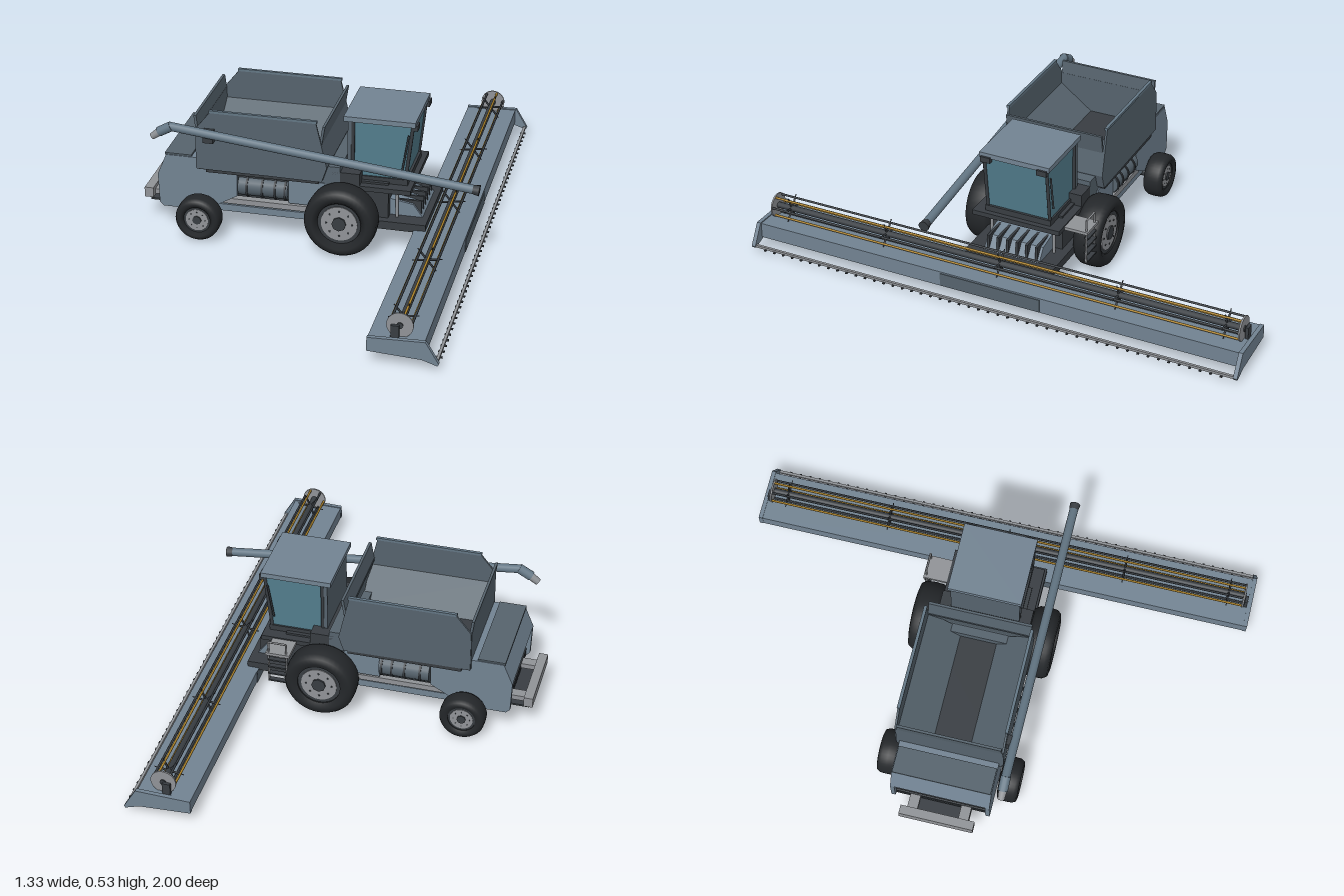
import * as THREE from 'three';

const C = { body: 0x728392, tank: 0x56636d, dark: 0x383d42, black: 0x24272a, rim: 0x909397,
  glass: 0x527c8c, yellow: 0xb0862c, pipe: 0x637684 };
const mats = {};
const mat = (c) => (mats[c] ??= new THREE.MeshStandardMaterial({ color: C[c], side: THREE.DoubleSide }));

export function createModel() {
  const model = new THREE.Group();
  const add = (name, geo, color, parent = model) => {
    const m = new THREE.Mesh(geo, mat(color));
    m.name = name;
    parent.add(m);
    return m;
  };
  // Box given by its limits on each axis
  const box = (name, color, x0, x1, y0, y1, z0, z1) => {
    const m = add(name, new THREE.BoxGeometry(x1 - x0, y1 - y0, z1 - z0), color);
    m.position.set((x0 + x1) / 2, (y0 + y1) / 2, (z0 + z1) / 2);
    return m;
  };
  // Side profile in x, y extruded from z0 to z1
  const slab = (name, color, pts, z0, z1) => {
    const shape = new THREE.Shape(pts.map((p) => new THREE.Vector2(...p)));
    const geo = new THREE.ExtrudeGeometry(shape, { depth: z1 - z0, bevelEnabled: false });
    return add(name, geo.translate(0, 0, z0), color);
  };
  // Round bar between two points
  const rod = (name, color, a, b, r, r2 = r, seg = 10) => {
    const p = new THREE.Vector3(...a), q = new THREE.Vector3(...b), d = q.clone().sub(p);
    const m = add(name, new THREE.CylinderGeometry(r2, r, d.length(), seg), color);
    m.position.copy(p).add(q).multiplyScalar(0.5);
    m.quaternion.setFromUnitVectors(new THREE.Vector3(0, 1, 0), d.normalize());
    return m;
  };
  // Flat four-cornered panel
  const quad = (name, color, a, b, c, d) => {
    const g = new THREE.BufferGeometry();
    g.setAttribute('position', new THREE.Float32BufferAttribute([a, b, c, a, c, d].flat(), 3));
    g.computeVertexNormals();
    return add(name, g, color);
  };

  // Chassis and rear hood
  box('chassis', 'dark', -0.5, 0.3, 0.1, 0.27, -0.15, 0.15);
  box('underFrame', 'body', -0.45, 0.05, 0.09, 0.118, -0.17, 0.17);
  box('frontFrame', 'dark', 0.02, 0.45, 0.092, 0.125, -0.18, 0.18);
  const hood = [[-0.575, 0.095], [-0.41, 0.095], [-0.28, 0.17], [-0.28, 0.275], [-0.42, 0.275],
    [-0.43, 0.315], [-0.56, 0.315], [-0.595, 0.23], [-0.59, 0.11]];
  for (const s of [-1, 1]) slab('hoodSide', 'body', hood, s * 0.185 - 0.008, s * 0.185 + 0.008);
  slab('hoodTop', 'body', [[-0.43, 0.27], [-0.43, 0.315], [-0.56, 0.315], [-0.595, 0.23], [-0.57, 0.21], [-0.5, 0.27]], -0.185, 0.185);
  box('hoodLip', 'tank', -0.565, -0.46, 0.312, 0.322, -0.19, 0.19);
  box('hoodFloor', 'dark', -0.575, -0.42, 0.095, 0.112, -0.185, 0.185);
  for (let i = 0; i < 4; i++) {
    const y = 0.125 + i * 0.026;
    rod('strawRoller', 'dark', [-0.565, y, -0.18], [-0.565, y, 0.18], 0.011);
  }
  // Straw spreader at the back
  box('spreader', 'rim', -0.667, -0.632, 0.1, 0.14, -0.145, 0.145);
  box('spreaderPlate', 'dark', -0.65, -0.57, 0.078, 0.085, -0.12, 0.12);
  for (const s of [-1, 1]) {
    box('spreaderArm', 'rim', -0.64, -0.57, 0.105, 0.125, s * 0.1 - 0.02, s * 0.1 + 0.02);
    // Side details below the tank
    box('sideBeam', 'rim', -0.34, 0.03, 0.128, 0.15, s * 0.165 - 0.015, s * 0.165 + 0.015);
    box('sidePanel', 'dark', -0.28, -0.02, 0.165, 0.26, s * 0.165 - 0.015, s * 0.165 + 0.015);
    rod('sideDrum', 'tank', [-0.275, 0.21, s * 0.165], [-0.08, 0.21, s * 0.165], 0.04, 0.04, 20);
    for (const x of [-0.24, -0.18, -0.13, -0.09])
      rod('drumBand', 'dark', [x - 0.004, 0.21, s * 0.165], [x + 0.004, 0.21, s * 0.165], 0.044, 0.044, 20);
    box('sideDoor', 'body', -0.08, 0.06, 0.16, 0.26, s * 0.17 - 0.015, s * 0.17 + 0.015);
  }

  // Open grain tank: side walls, sloping floor and flared end flaps
  const wall = [[-0.435, 0.28], [0.055, 0.275], [0.075, 0.335], [0.032, 0.52], [-0.375, 0.52], [-0.435, 0.445]];
  for (const s of [-1, 1]) {
    slab('tankSide', 'tank', wall, s * 0.205 - 0.004, s * 0.205 + 0.004);
    box('tankRail', 'pipe', -0.38, 0.037, 0.515, 0.525, s * 0.205 - 0.006, s * 0.205 + 0.006);
    quad('tankSlope', 'tank', [-0.433, 0.4, s * 0.203], [0.06, 0.4, s * 0.203], [0.06, 0.3, s * 0.07], [-0.433, 0.3, s * 0.07]);
    box('tankBase', 'dark', -0.4, 0.04, 0.262, 0.28, s * 0.18 - 0.025, s * 0.18 + 0.02);
  }
  box('tankFloor', 'dark', -0.433, 0.055, 0.275, 0.301, -0.205, 0.205);
  box('tankBack', 'tank', -0.437, -0.427, 0.28, 0.445, -0.205, 0.205);
  slab('tankFront', 'tank', [[0.045, 0.275], [0.055, 0.275], [0.075, 0.335], [0.053, 0.43], [0.043, 0.43], [0.065, 0.335]], -0.205, 0.205);
  slab('backFlap', 'tank', [[-0.437, 0.44], [-0.427, 0.44], [-0.434, 0.495], [-0.444, 0.495]], -0.2, 0.2);
  slab('frontFlap', 'tank', [[0.043, 0.42], [0.053, 0.42], [0.066, 0.5], [0.056, 0.5]], -0.2, 0.2);

  // Steps between tank and cab
  box('engineCover', 'tank', 0.03, 0.12, 0.25, 0.33, -0.18, 0.18);
  box('cabStep', 'dark', 0.08, 0.195, 0.25, 0.31, -0.18, 0.18);

  // Cab with tinted glass, posts and roof
  box('cabPlatform', 'dark', 0.12, 0.39, 0.243, 0.262, -0.18, 0.18);
  box('cabBase', 'dark', 0.14, 0.37, 0.258, 0.285, -0.135, 0.135);
  slab('cabGlass', 'glass', [[0.15, 0.283], [0.36, 0.283], [0.385, 0.507], [0.15, 0.507]], -0.128, 0.128);
  box('cabBack', 'tank', 0.138, 0.155, 0.27, 0.507, -0.135, 0.135);
  for (const s of [-1, 1]) {
    rod('frontPost', 'dark', [0.361, 0.283, s * 0.128], [0.386, 0.507, s * 0.128], 0.007, 0.007, 6);
    rod('rearPost', 'dark', [0.157, 0.283, s * 0.13], [0.157, 0.507, s * 0.13], 0.008, 0.008, 6);
    rod('doorHandle', 'dark', [0.35, 0.33, s * 0.138], [0.372, 0.47, s * 0.138], 0.004, 0.004, 6);
    box('workLight', 'dark', 0.385, 0.405, 0.49, 0.512, s * 0.115 - 0.02, s * 0.115 + 0.02);
  }
  box('cabRoof', 'body', 0.123, 0.397, 0.506, 0.526, -0.143, 0.143);

  // Side landing with handrail and ladder
  box('landing', 'rim', 0.25, 0.345, 0.245, 0.257, -0.275, -0.175);
  for (const x of [0.265, 0.335]) {
    rod('railPost', 'rim', [x, 0.25, -0.265], [x, 0.3, -0.265], 0.004, 0.004, 6);
    rod('ladderSide', 'rim', [x, 0.12, -0.265], [x, 0.25, -0.265], 0.004, 0.004, 6);
  }
  rod('handrail', 'rim', [0.265, 0.3, -0.265], [0.335, 0.3, -0.265], 0.004, 0.004, 6);
  for (let i = 0; i < 4; i++) box('ladderRung', 'dark', 0.265, 0.335, 0.125 + i * 0.032, 0.131 + i * 0.032, -0.275, -0.255);

  // Feeder house leading into the header
  slab('feederHouse', 'body', [[0.22, 0.23], [0.28, 0.195], [0.39, 0.175], [0.43, 0.12], [0.43, 0.07], [0.22, 0.1]], -0.115, 0.115);
  for (let i = 0; i < 6; i++) box('feederRib', 'dark', 0.3, 0.42, 0.12, 0.188, -0.105 + i * 0.04, -0.095 + i * 0.04);
  for (const s of [-1, 1]) rod('feederStrut', 'rim', [0.33, 0.12, s * 0.13], [0.33, 0.245, s * 0.13], 0.006);

  // Unloading auger tube with rear elbow and front spout
  const az = 0.237;
  rod('augerTube', 'pipe', [-0.53, 0.457, az], [0.635, 0.328, az], 0.017, 0.017, 16);
  rod('augerSpout', 'dark', [0.63, 0.328, az], [0.66, 0.325, az], 0.016, 0.021, 12);
  rod('augerElbow', 'pipe', [-0.52, 0.458, az], [-0.57, 0.43, az], 0.019, 0.019, 14);
  rod('augerOutlet', 'rim', [-0.56, 0.436, az], [-0.597, 0.408, az], 0.017, 0.013, 12);
  box('augerBracket', 'dark', -0.4, -0.36, 0.4, 0.45, 0.205, 0.235);

  // Wheels: rounded tyre, ring, dished rim and hub
  const wheel = (name, x, r, w, z) => {
    const g = new THREE.Group();
    g.name = name;
    const ri = r * 0.6, h = w / 2;
    const prof = [[ri, -h * 0.8], [r * 0.75, -h], [r * 0.9, -h * 0.92], [r * 0.985, -h * 0.6], [r, 0],
      [r * 0.985, h * 0.6], [r * 0.9, h * 0.92], [r * 0.75, h], [ri, h * 0.8], [ri, -h * 0.8]];
    add('tyre', new THREE.LatheGeometry(prof.map((p) => new THREE.Vector2(...p)), 40), 'black', g);
    add('rimRing', new THREE.CylinderGeometry(ri, ri, w * 0.7, 32), 'dark', g);
    add('rim', new THREE.CylinderGeometry(r * 0.5, r * 0.5, w * 0.76, 28), 'rim', g);
    add('hub', new THREE.CylinderGeometry(r * 0.2, r * 0.2, w * 0.88, 8), 'dark', g);
    for (let i = 0; i < 8; i++) {
      const a = (i / 8) * Math.PI * 2;
      const b = add('bolt', new THREE.CylinderGeometry(r * 0.03, r * 0.03, w * 0.8, 6), 'dark', g);
      b.position.set(Math.cos(a) * r * 0.36, 0, Math.sin(a) * r * 0.36);
    }
    g.rotation.x = Math.PI / 2;
    g.position.set(x, r, z);
    model.add(g);
  };
  for (const s of [-1, 1]) {
    wheel('frontWheel', 0.137, 0.14, 0.11, s * 0.228);
    wheel('rearWheel', -0.42, 0.088, 0.08, s * 0.238);
  }
  rod('frontAxle', 'dark', [0.137, 0.14, -0.2], [0.137, 0.14, 0.2], 0.035, 0.035, 14);
  rod('rearAxle', 'dark', [-0.42, 0.088, -0.22], [-0.42, 0.088, 0.22], 0.02, 0.02, 12);

  // Header deck with end dividers and cutter bar
  slab('headerDeck', 'body', [[0.406, 0.052], [0.608, 0.045], [0.608, 0.106], [0.406, 0.1]], -0.99, 0.99);
  box('headerCentre', 'tank', 0.404, 0.611, 0.048, 0.1, -0.205, 0.205);
  for (const s of [-1, 1]) {
    slab('headerEnd', 'body', [[0.405, 0.05], [0.6, 0.04], [0.655, 0.022], [0.66, 0.03], [0.612, 0.11], [0.405, 0.103]], s * 0.992 - 0.008, s * 0.992 + 0.008);
    box('reelArm', 'dark', 0.485, 0.515, 0.1, 0.15, s * 0.975 - 0.006, s * 0.975 + 0.006);
  }
  box('cutterBar', 'rim', 0.645, 0.655, 0.024, 0.034, -0.99, 0.99);
  for (let i = 0; i < 48; i++) {
    const z = -0.94 + i * 0.04;
    box('cutterGuard', 'dark', 0.64, 0.662, 0.021, 0.026, z - 0.004, z + 0.004);
  }

  // Reel: shaft, end discs, spiders, bats and tines
  const rx = 0.515, ry = 0.146;
  rod('reelShaft', 'dark', [rx, ry, -0.97], [rx, ry, 0.97], 0.012, 0.012, 12);
  for (const s of [-1, 1]) rod('reelDisc', 'rim', [rx, ry, s * 0.96], [rx, ry, s * 0.966], 0.048, 0.048, 28);
  for (let i = 0; i < 6; i++) {
    const a = (i * Math.PI) / 3 + 0.15;
    const x = rx + 0.042 * Math.cos(a), y = ry + 0.042 * Math.sin(a);
    rod('reelBat', i % 2 ? 'yellow' : 'dark', [x, y, -0.96], [x, y, 0.96], 0.0045, 0.0045, 6);
    for (const z of [-0.9, -0.48, 0, 0.48, 0.9]) {
      rod('reelSpoke', 'dark', [rx, ry, z], [x, y, z], 0.004, 0.004, 6);
      rod('reelTine', 'dark', [x, y, z], [x + 0.014 * Math.cos(a), y + 0.014 * Math.sin(a), z], 0.002, 0.002, 5);
    }
  }
  return model;
}
